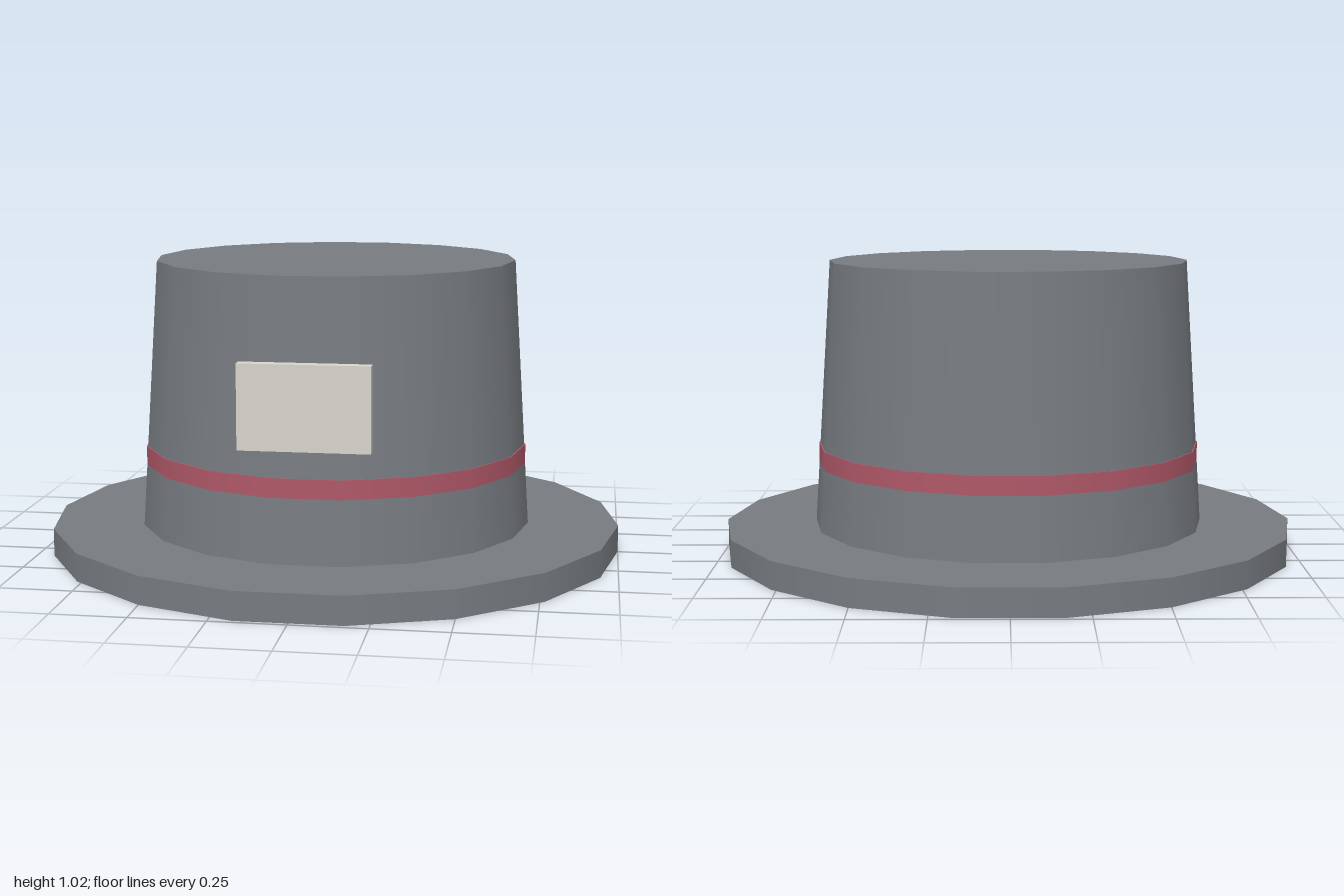
import * as THREE from 'three';

const SIDES = 18;

export function createModel() {
  const model = new THREE.Group();
  model.name = 'topHat';
  const felt = new THREE.MeshStandardMaterial({ color: 0x777b80 });
  const ribbon = new THREE.MeshStandardMaterial({ color: 0xb05868 });
  const card = new THREE.MeshStandardMaterial({ color: 0xd8d4cc });

  const add = (name, geometry, material) => {
    const mesh = new THREE.Mesh(geometry, material);
    mesh.name = name;
    model.add(mesh);
  };

  // Round part between two heights, with a flat side facing front
  const ring = (name, rTop, rBottom, y0, y1, material) => {
    const geometry = new THREE.CylinderGeometry(rTop, rBottom, y1 - y0, SIDES);
    geometry.rotateY(Math.PI / SIDES);
    geometry.translate(0, (y0 + y1) / 2, 0);
    add(name, geometry, material);
  };

  ring('brim', 1, 1, 0, 0.095, felt);
  ring('crown', 0.625, 0.685, 0.095, 1.02, felt);
  // Straight band that sinks into the tapered crown at its lower edge
  ring('hatBand', 0.671, 0.671, 0.28, 0.375, ribbon);

  // Card on the front of the crown
  const plate = new THREE.BoxGeometry(0.43, 0.28, 0.04);
  plate.translate(0, 0.61, 0.675);
  add('frontCard', plate, card);

  return model;
}
